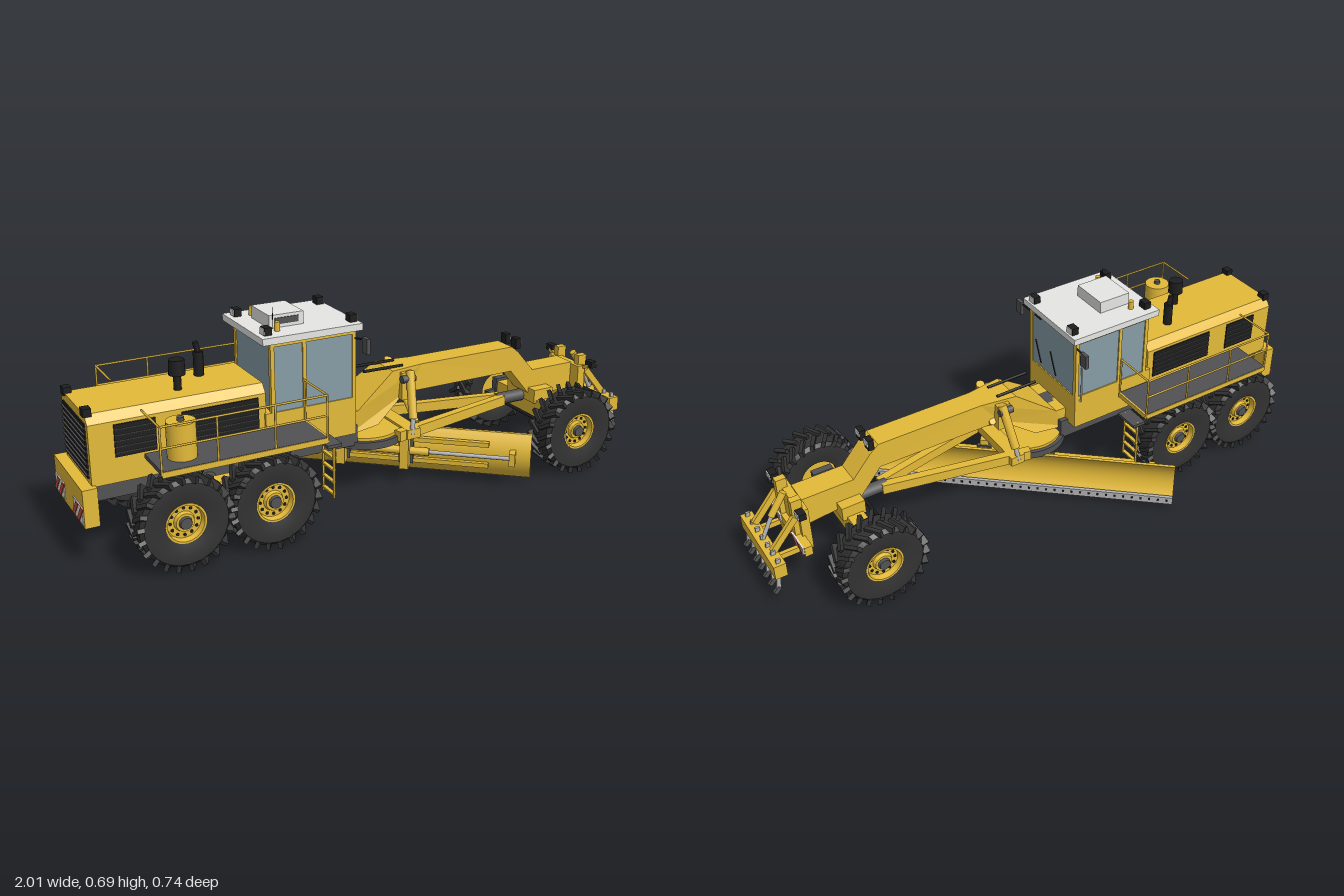
import * as THREE from 'three';
import { mergeGeometries, toCreasedNormals } from 'three/addons/utils/BufferGeometryUtils.js';

const mat = (name, color) => Object.assign(new THREE.MeshStandardMaterial({ color }), { name });
const M = {
  yellow: mat('yellow paint', 0xe4ba39), tire: mat('tire rubber', 0x323232), black: mat('black', 0x1e1e1e),
  dark: mat('dark grey', 0x525254), white: mat('light grey', 0xe6e6e4), glass: mat('glass', 0x869da6),
  silver: mat('silver', 0xb4b4b4), red: mat('red', 0xc84e40),
};
const UP = new THREE.Vector3(0, 1, 0);
const V = (p) => new THREE.Vector3(...p);

function add(parent, name, geo, m, p = [0, 0, 0]) {
  const mesh = new THREE.Mesh(geo, m);
  mesh.name = name;
  mesh.position.set(...p);
  parent.add(mesh);
  return mesh;
}
// box given by its ranges on each axis
function box(parent, name, m, [x0, x1], [y0, y1], [z0, z1]) {
  return add(parent, name, new THREE.BoxGeometry(x1 - x0, y1 - y0, z1 - z0), m, [(x0 + x1) / 2, (y0 + y1) / 2, (z0 + z1) / 2]);
}
// round bar between two points
function rod(parent, name, m, a, b, r, r2 = r, sides = 10) {
  const A = V(a), B = V(b), d = B.clone().sub(A);
  const mesh = add(parent, name, new THREE.CylinderGeometry(r2, r, d.length(), sides), m);
  mesh.position.copy(A).add(B).multiplyScalar(0.5);
  mesh.quaternion.setFromUnitVectors(UP, d.normalize());
}
// square bar between two points
function bar(parent, name, m, a, b, w, h) {
  const A = V(a), B = V(b);
  const mesh = add(parent, name, new THREE.BoxGeometry(w, h, A.distanceTo(B)), m);
  mesh.position.copy(A).add(B).multiplyScalar(0.5);
  mesh.quaternion.setFromRotationMatrix(new THREE.Matrix4().lookAt(B, A, UP));
}
function prism(pts, depth, alongX = false) {
  const g = new THREE.ExtrudeGeometry(new THREE.Shape(pts.map((p) => new THREE.Vector2(...p))), { depth, bevelEnabled: false });
  g.translate(0, 0, -depth / 2);
  return alongX ? g.rotateY(Math.PI / 2) : g;
}
const lathe = (pts, n) => toCreasedNormals(
  new THREE.LatheGeometry(pts.map((p) => new THREE.Vector2(...p)), n).rotateX(Math.PI / 2), 0.6);

// wheel with its outer face toward +z
function wheel() {
  const g = new THREE.Group();
  g.name = 'wheel';
  add(g, 'tire', lathe([[0.062, -0.04], [0.1, -0.05], [0.128, -0.048], [0.138, -0.035], [0.139, 0.035],
    [0.128, 0.048], [0.1, 0.05], [0.062, 0.04], [0.062, -0.04]], 40), M.tire);
  const lugs = [];
  for (let i = 0; i < 44; i++) {
    const s = i % 2 ? 1 : -1;
    const lug = new THREE.BoxGeometry(0.013, 0.022, 0.058).rotateY(s * 0.55).translate(0, 0.138, s * 0.028);
    lugs.push(lug.rotateZ((i / 44) * Math.PI * 2));
  }
  add(g, 'treadLugs', mergeGeometries(lugs), M.tire);
  add(g, 'rim', lathe([[0.001, -0.03], [0.062, -0.03], [0.063, 0.042], [0.057, 0.042], [0.053, 0.022], [0.032, 0.022],
    [0.028, 0.034], [0.001, 0.034]], 32), M.yellow);
  const holes = [];
  for (let i = 0; i < 12; i++) {
    const a = (i / 12) * Math.PI * 2;
    holes.push(new THREE.CylinderGeometry(0.005, 0.005, 0.004, 8).rotateX(Math.PI / 2).translate(0.043 * Math.cos(a), 0.043 * Math.sin(a), 0.023));
  }
  add(g, 'rimHoles', mergeGeometries(holes), M.black);
  add(g, 'hub', new THREE.CylinderGeometry(0.018, 0.021, 0.012, 12).rotateX(Math.PI / 2), M.dark, [0, 0, 0.038]);
  return g;
}
// warning board: slanted red bands on light grey, facing +x or -x
function warning(parent, x, dir, y0, y1, z0, z1) {
  box(parent, 'warningBoard', M.white, [x - 0.003, x + 0.003], [y0, y1], [z0, z1]);
  const step = (z1 - z0) / 2, k = (y0 - y1) * 0.45, w = step * 0.25;
  for (let i = 0; i < 2; i++) {
    const c = -(z0 + step * (i + 0.5));
    const pts = [[c - w - k, y0], [c + w - k, y0], [c + w + k, y1], [c - w + k, y1]];
    add(parent, 'warningStripe', prism(pts, 0.004, true), M.red, [x + dir * 0.003, 0, 0]);
  }
}

function rearBody(g) {
  box(g, 'rearFrame', M.dark, [-0.96, -0.08], [0.19, 0.26], [-0.1, 0.1]);
  add(g, 'hood', prism([[-0.13, 0.25], [0.13, 0.25], [0.13, 0.44], [0.108, 0.467], [-0.108, 0.467], [-0.13, 0.44]], 0.55, true), M.yellow, [-0.69, 0, 0]);
  box(g, 'rearBumper', M.yellow, [-1, -0.955], [0.135, 0.255], [-0.15, 0.15]);
  box(g, 'rearGrille', M.black, [-0.969, -0.963], [0.27, 0.44], [-0.11, 0.11]);
  for (let i = 0; i < 9; i++) box(g, 'grilleSlat', M.dark, [-0.974, -0.966], [0.28 + i * 0.018, 0.284 + i * 0.018], [-0.11, 0.11]);
  for (const s of [1, -1]) {
    warning(g, -1, -1, 0.145, 0.2, s > 0 ? 0.05 : -0.145, s > 0 ? 0.145 : -0.05);
    for (const [a, b] of [[-0.89, -0.765], [-0.685, -0.44]]) {
      box(g, 'sideLouver', M.black, [a, b], [0.33, 0.43], [s * 0.131 - 0.003, s * 0.131 + 0.003]);
      for (let i = 0; i < 5; i++) box(g, 'louverSlat', M.dark, [a, b], [0.342 + i * 0.018, 0.344 + i * 0.018], [s * 0.133 - 0.003, s * 0.133 + 0.003]);
    }
    // walkway, rails and steps
    box(g, 'walkway', M.dark, [-0.81, -0.29], [0.317, 0.331], [s * 0.222 - 0.075, s * 0.222 + 0.075]);
    box(g, 'walkwayEdge', M.yellow, [-0.81, -0.29], [0.312, 0.33], [s * 0.296 - 0.003, s * 0.296 + 0.003]);
    box(g, 'walkwayFrontEdge', M.yellow, [-0.29, -0.284], [0.314, 0.331], [s * 0.222 - 0.075, s * 0.222 + 0.075]);
    box(g, 'step', M.dark, [-0.288, -0.24], [0.29, 0.3], [s * 0.25 - 0.043, s * 0.25 + 0.043]);
    for (const y of [0.4, 0.465]) rod(g, 'handrail', M.yellow, [-0.81, y, s * 0.295], [-0.29, y, s * 0.295], 0.0035, 0.0035, 6);
    for (const x of [-0.81, -0.29]) rod(g, 'endRail', M.yellow, [x, 0.465, s * 0.295], [x, 0.465, s * 0.145], 0.0035, 0.0035, 6);
    rod(g, 'innerRailPost', M.yellow, [-0.29, 0.32, s * 0.145], [-0.29, 0.465, s * 0.145], 0.0035, 0.0035, 6);
    for (const x of [-0.81, -0.64, -0.46, -0.29]) rod(g, 'railPost', M.yellow, [x, 0.32, s * 0.295], [x, 0.465, s * 0.295], 0.0035, 0.0035, 6);
    for (const z of [0.215, 0.285]) rod(g, 'ladderSide', M.yellow, [-0.264, 0.12, s * z], [-0.264, 0.3, s * z], 0.004, 0.004, 6);
    for (let i = 0; i < 4; i++) box(g, 'ladderRung', M.yellow, [-0.27, -0.258], [0.13 + i * 0.04, 0.136 + i * 0.04], [s * 0.25 - 0.035, s * 0.25 + 0.035]);
    // tandem drive case and wheels
    const caseShape = new THREE.Shape();
    caseShape.absarc(-0.743, 0.15, 0.065, Math.PI / 2, Math.PI * 1.5).absarc(-0.46, 0.15, 0.065, -Math.PI / 2, Math.PI / 2);
    add(g, 'tandemCase', new THREE.ExtrudeGeometry(caseShape, { depth: 0.05, bevelEnabled: false }), M.yellow, [0, 0, s * 0.175 - 0.025]);
    for (const x of [-0.743, -0.46, 0.69]) {
      const w = wheel();
      w.position.set(x, 0.15, s * 0.243);
      if (s < 0) w.rotation.y = Math.PI;
      g.add(w);
    }
    box(g, 'rearLamp', M.black, [-0.97, -0.945], [0.46, 0.485], [s * 0.1 - 0.015, s * 0.1 + 0.015]);
  }
  rod(g, 'rearAxle', M.dark, [-0.6, 0.18, -0.16], [-0.6, 0.18, 0.16], 0.028, 0.028, 16);
  rod(g, 'tank', M.yellow, [-0.72, 0.33, 0.217], [-0.72, 0.442, 0.217], 0.044, 0.044, 24);
  rod(g, 'tankCap', M.dark, [-0.72, 0.44, 0.217], [-0.72, 0.453, 0.217], 0.011);
  rod(g, 'intakeStem', M.black, [-0.66, 0.465, 0.04], [-0.66, 0.53, 0.04], 0.012);
  rod(g, 'intakeCap', M.black, [-0.66, 0.515, 0.04], [-0.66, 0.562, 0.04], 0.026, 0.024, 16);
  rod(g, 'exhaust', M.black, [-0.557, 0.465, -0.05], [-0.557, 0.545, -0.05], 0.016);
  rod(g, 'exhaustTip', M.black, [-0.557, 0.54, -0.05], [-0.565, 0.575, -0.05], 0.009);
}

function cab(g) {
  box(g, 'cabBase', M.yellow, [-0.42, -0.107], [0.25, 0.375], [-0.14, 0.14]);
  box(g, 'cabGlass', M.glass, [-0.396, -0.111], [0.37, 0.59], [-0.136, 0.136]);
  box(g, 'cabHeader', M.yellow, [-0.4, -0.107], [0.584, 0.6], [-0.14, 0.14]);
  for (const s of [1, -1]) {
    for (const [a, b] of [[-0.4, -0.387], [-0.292, -0.28], [-0.12, -0.107]])
      box(g, 'cabPillar', M.yellow, [a, b], [0.37, 0.59], s > 0 ? [0.124, 0.14] : [-0.14, -0.124]);
    rod(g, 'mirrorArm', M.black, [-0.11, 0.57, s * 0.14], [-0.1, 0.578, s * 0.195], 0.003, 0.003, 6);
    box(g, 'mirror', M.dark, [-0.108, -0.096], [0.535, 0.584], [s * 0.194 - 0.016, s * 0.194 + 0.016]);
    rod(g, 'wiper', M.black, [-0.103, 0.4, s * 0.045 + 0.018], [-0.103, 0.48, s * 0.045 + 0.052], 0.002, 0.002, 6);
    for (const x of [-0.4, -0.11]) {
      box(g, 'roofLamp', M.black, [x - 0.012, x + 0.012], [0.619, 0.643], [s * 0.113 - 0.016, s * 0.113 + 0.016]);
      const d = x < -0.2 ? -0.013 : 0.013;
      box(g, 'lampLens', M.white, [x + d - 0.002, x + d + 0.002], [0.621, 0.641], [s * 0.113 - 0.014, s * 0.113 + 0.014]);
    }
    rod(g, 'beacon', M.yellow, [-0.355, 0.618, s * 0.095], [-0.355, 0.648, s * 0.095], 0.009);
  }
  // door grab rail on one side
  rod(g, 'grabRail', M.white, [-0.125, 0.36, -0.15], [-0.125, 0.555, -0.15], 0.003, 0.003, 6);
  for (const y of [0.36, 0.555]) rod(g, 'grabRailEnd', M.white, [-0.125, y, -0.15], [-0.125, y, -0.138], 0.003, 0.003, 6);
  box(g, 'wiperMotor', M.black, [-0.112, -0.105], [0.57, 0.574], [0.072, 0.108]);
  box(g, 'roof', M.white, [-0.43, -0.09], [0.597, 0.619], [-0.154, 0.154]);
  box(g, 'airConditioner', M.white, [-0.368, -0.252], [0.618, 0.66], [-0.066, 0.067]);
  box(g, 'airVent', M.dark, [-0.35, -0.27], [0.63, 0.65], [0.064, 0.07]);
  rod(g, 'antenna', M.black, [-0.36, 0.618, 0.075], [-0.36, 0.688, 0.075], 0.001, 0.001, 6);
}

function frontFrame(g) {
  // arched main beam, widened toward the cab
  const beam = prism([[-0.11, 0.22], [0.01, 0.235], [0.13, 0.315], [0.57, 0.315], [0.65, 0.22], [0.84, 0.2], [0.84, 0.305],
    [0.665, 0.305], [0.6, 0.38], [0.57, 0.405], [0.2, 0.405], [0.075, 0.405], [-0.07, 0.3], [-0.11, 0.3]], 0.084);
  const p = beam.attributes.position;
  for (let i = 0; i < p.count; i++) p.setZ(i, p.getZ(i) * (1 + Math.min(1, Math.max(0, (0.14 - p.getX(i)) / 0.15))));
  beam.computeVertexNormals();
  add(g, 'mainBeam', beam, M.yellow);
  box(g, 'frontAxle', M.yellow, [0.66, 0.715], [0.125, 0.2], [-0.155, 0.155]);
  box(g, 'axlePivot', M.yellow, [0.65, 0.73], [0.19, 0.24], [-0.08, 0.08]);
  rod(g, 'tieRod', M.black, [0.615, 0.16, -0.165], [0.615, 0.16, 0.165], 0.006);
  for (const s of [1, -1]) {
    box(g, 'steeringKnuckle', M.dark, [0.655, 0.725], [0.12, 0.21], [s * 0.168 - 0.013, s * 0.168 + 0.013]);
    bar(g, 'steeringArm', M.dark, [0.615, 0.16, s * 0.165], [0.69, 0.16, s * 0.175], 0.014, 0.014);
    box(g, 'headlamp', M.black, [0.585, 0.605], [0.395, 0.432], [s * 0.03 - 0.015, s * 0.03 + 0.015]);
    box(g, 'headlampLens', M.white, [0.604, 0.608], [0.41, 0.43], [s * 0.03 - 0.014, s * 0.03 + 0.014]);
    // blade lift cylinders on the beam saddle
    rod(g, 'saddlePivot', M.dark, [0.1, 0.375, s * 0.075], [0.15, 0.375, s * 0.075], 0.013, 0.013, 14);
    rod(g, 'liftCylinder', M.yellow, [0.135, 0.4, s * 0.07], [0.118, 0.25, s * 0.122], 0.015, 0.015, 14);
    rod(g, 'liftRod', M.silver, [0.118, 0.25, s * 0.122], [0.11, 0.2, s * 0.13], 0.008);
    bar(g, 'drawbarArm', M.yellow, [0.56, 0.2, s * 0.012], [0.06, 0.2, s * 0.12], 0.028, 0.035);
    rod(g, 'hose', M.black, [-0.02, 0.41, s * 0.03], [0.13, 0.408, s * 0.03], 0.005, 0.005, 6);
    // front rack lamps
    bar(g, 'lampBracket', M.yellow, [0.865, 0.285, s * 0.05], [0.865, 0.305, s * 0.112], 0.012, 0.012);
    box(g, 'rackLamp', M.black, [0.86, 0.884], [0.302, 0.325], [s * 0.112 - 0.017, s * 0.112 + 0.017]);
    box(g, 'rackLampLens', M.white, [0.883, 0.887], [0.304, 0.323], [s * 0.112 - 0.015, s * 0.112 + 0.015]);
    warning(g, 0.888, 1, 0.174, 0.2, s > 0 ? 0.045 : -0.135, s > 0 ? 0.135 : -0.045);
    box(g, 'rackUpright', M.yellow, [0.85, 0.885], [0.13, 0.335], [s * 0.058 - 0.012, s * 0.058 + 0.012]);
    bar(g, 'scarifierLink', M.yellow, [0.88, 0.28, s * 0.075], [0.965, 0.18, s * 0.075], 0.014, 0.022);
    bar(g, 'scarifierLowerLink', M.yellow, [0.88, 0.15, s * 0.075], [0.965, 0.15, s * 0.075], 0.014, 0.02);
  }
  rod(g, 'drawbarBall', M.dark, [0.54, 0.2, 0], [0.65, 0.2, 0], 0.022);
  box(g, 'saddle', M.yellow, [0.105, 0.15], [0.3, 0.395], [-0.07, 0.07]);
  box(g, 'drawbarCross', M.yellow, [0.09, 0.14], [0.185, 0.218], [-0.135, 0.135]);
  rod(g, 'sideShiftCylinder', M.yellow, [0.16, 0.33, -0.05], [0.15, 0.22, 0.09], 0.012);
  box(g, 'rackPlate', M.yellow, [0.838, 0.868], [0.14, 0.3], [-0.085, 0.085]);
  box(g, 'rackBoard', M.yellow, [0.86, 0.886], [0.165, 0.2], [-0.138, 0.138]);
  // scarifier
  box(g, 'scarifierBar', M.yellow, [0.95, 0.99], [0.125, 0.175], [-0.14, 0.14]);
  rod(g, 'scarifierCylinder', M.yellow, [0.88, 0.325, 0], [0.93, 0.25, 0], 0.012);
  rod(g, 'scarifierRod', M.silver, [0.93, 0.25, 0], [0.97, 0.17, 0], 0.007);
  for (let i = -3; i <= 3; i++) {
    bar(g, 'scarifierTooth', M.silver, [0.968, 0.19, i * 0.0415], [0.982, 0.075, i * 0.0415], 0.008, 0.014);
    bar(g, 'toothTip', M.dark, [0.978, 0.078, i * 0.0415], [0.996, 0.058, i * 0.0415], 0.011, 0.014);
  }
  // turning circle under the drawbar
  const ring = new THREE.Shape().absarc(0, 0, 0.135, 0, Math.PI * 2);
  ring.holes.push(new THREE.Path().absarc(0, 0, 0.105, 0, Math.PI * 2, true));
  add(g, 'turningCircle', new THREE.ExtrudeGeometry(ring, { depth: 0.025, bevelEnabled: false, curveSegments: 32 }).rotateX(-Math.PI / 2), M.dark, [0, 0.175, 0]);
  rod(g, 'drawbarPlate', M.yellow, [0, 0.198, 0], [0, 0.21, 0], 0.122, 0.122, 32);
  box(g, 'circleDrive', M.dark, [-0.11, -0.05], [0.19, 0.3], [-0.03, 0.03]);
}

function blade(g) {
  const b = new THREE.Group();
  b.name = 'blade';
  b.position.set(0.073, 0, -0.06);
  b.rotation.y = -0.713;
  g.add(b);
  const L = 1.08, front = [], back = [];
  for (let i = 0; i <= 12; i++) {
    const t = i / 6 - 1, y = 0.1 + t * 0.078, u = 0.02 - 0.032 * (1 - t * t);
    front.push([u, y]);
    back.unshift([u - 0.012, y]);
  }
  add(b, 'moldboard', toCreasedNormals(prism([...front, ...back], L, true), 0.5), M.yellow);
  box(b, 'cuttingEdge', M.silver, [-L / 2, L / 2], [0.018, 0.046], [-0.026, -0.014]);
  const bolts = [];
  for (let i = 0; i < 36; i++) bolts.push(new THREE.BoxGeometry(0.007, 0.007, 0.004).translate(-0.52 + (i * 1.04) / 35, 0.034, -0.027));
  add(b, 'edgeBolts', mergeGeometries(bolts), M.black);
  // slide rails and side shift cylinder behind the blade
  for (const y of [0.07, 0.145]) box(b, 'slideRail', M.yellow, [-0.4, 0.4], [y - 0.008, y + 0.008], [0.018, 0.036]);
  rod(b, 'shiftRod', M.silver, [-0.47, 0.108, 0.045], [0.49, 0.108, 0.045], 0.007);
  rod(b, 'shiftCylinder', M.yellow, [-0.05, 0.108, 0.045], [0.2, 0.108, 0.045], 0.014);
  for (const x of [-0.46, 0.48]) box(b, 'rodBracket', M.yellow, [x - 0.01, x + 0.01], [0.085, 0.13], [0.02, 0.06]);
  for (const x of [-0.1, 0.12]) {
    box(b, 'bladeArm', M.yellow, [x - 0.015, x + 0.015], [0.055, 0.18], [0.03, 0.085]);
    box(b, 'bladeBracket', M.dark, [x - 0.025, x + 0.025], [0.06, 0.16], [0.025, 0.042]);
  }
}

export function createModel() {
  const model = new THREE.Group();
  model.name = 'roadGrader';
  const g = new THREE.Group();
  g.name = 'machine';
  g.position.z = 0.06;
  model.add(g);
  rearBody(g);
  cab(g);
  frontFrame(g);
  blade(g);
  return model;
}
